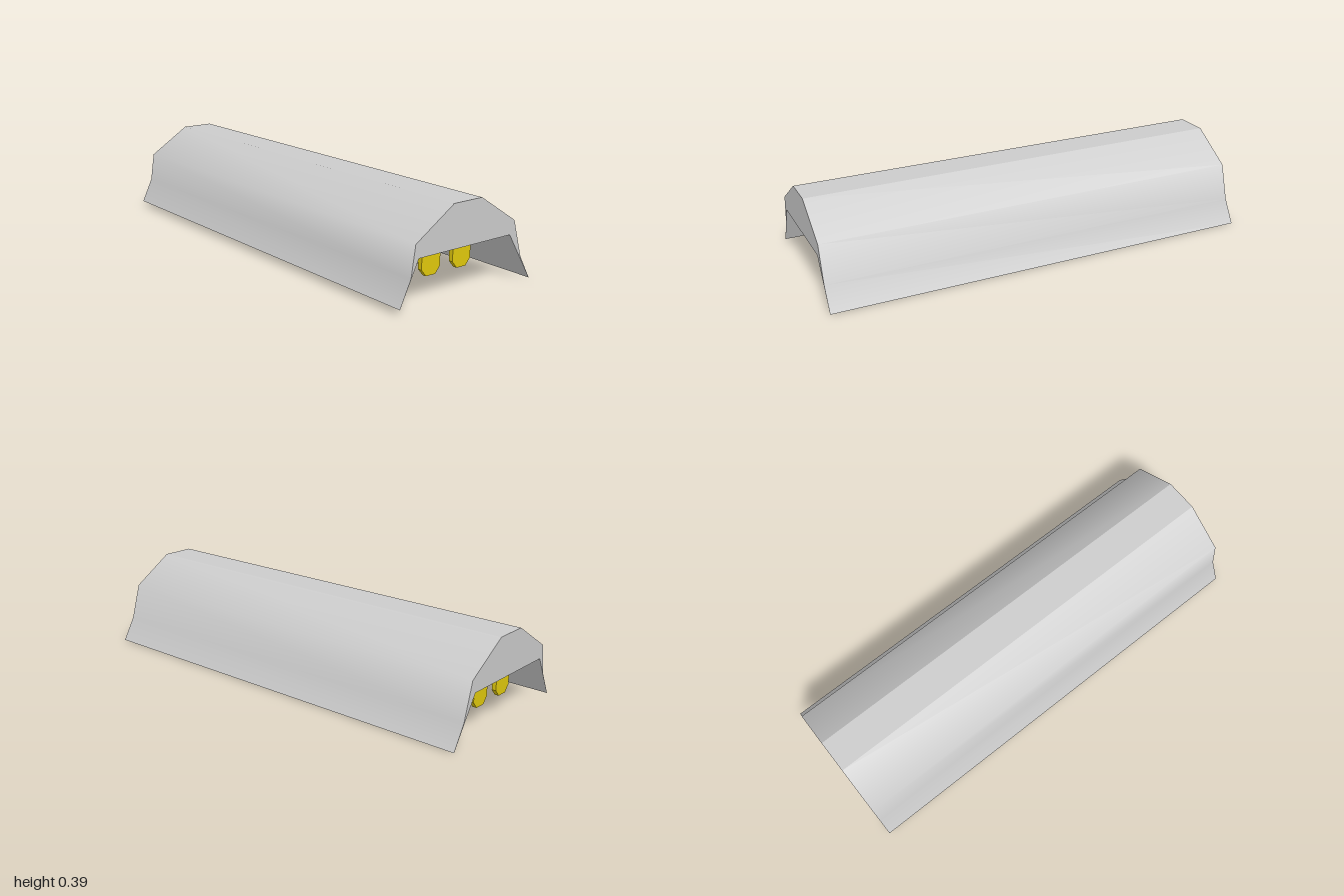
import * as THREE from 'three';

const grey = new THREE.MeshStandardMaterial({ color: 0xcccccc });
const flatGrey = new THREE.MeshStandardMaterial({ color: 0xcccccc, flatShading: true });
const yellow = new THREE.MeshStandardMaterial({ color: 0xe0c80c });

// Cross-section runs as [z, y]; shading is smooth inside a run, sharp between runs
const runs = {
  backCover: [[-0.36, 0.005], [-0.3, 0.11], [-0.252, 0.272], [-0.057, 0.397]],
  topPanel: [[-0.057, 0.397], [0.095, 0.397]],
  frontCover: [[0.095, 0.397], [0.29, 0.272], [0.31, 0.14], [0.362, 0.03]],
  frontReflector: [[0.362, 0.03], [0.272, 0.214]],
  underside: [[0.272, 0.214], [-0.228, 0.214]],
  backReflector: [[-0.228, 0.214], [-0.36, 0.005]],
};

function named(name, geometry, material) {
  const mesh = new THREE.Mesh(geometry, material);
  mesh.name = name;
  return mesh;
}

// Sweeps a run of the cross-section along the full length
function sweep(points) {
  const positions = [];
  const index = [];
  points.forEach(([z, y], i) => {
    positions.push(-1, y, z, 1, y, z);
    const a = 2 * i;
    if (i < points.length - 1) index.push(a, a + 2, a + 3, a, a + 3, a + 1);
  });
  const geometry = new THREE.BufferGeometry();
  geometry.setAttribute('position', new THREE.Float32BufferAttribute(positions, 3));
  geometry.setIndex(index);
  geometry.computeVertexNormals();
  return geometry;
}

// Flat outline of [z, y] points, mapped so a turn about y by side * 90 degrees restores z
const outline = (points, side) =>
  new THREE.Shape(points.map(([z, y]) => new THREE.Vector2(-side * z, y)));

export function createModel() {
  const model = new THREE.Group();

  // Housing: swept panels closed by an end cap on each side
  const housing = new THREE.Group();
  housing.name = 'housing';
  for (const [name, points] of Object.entries(runs)) housing.add(named(name, sweep(points), grey));
  const section = Object.values(runs).flatMap((points) => points.slice(0, -1));
  for (const side of [-1, 1]) {
    const cap = new THREE.ShapeGeometry(outline(section, side));
    cap.rotateY(side * Math.PI / 2).translate(side, 0, 0);
    housing.add(named(side > 0 ? 'leftEndCap' : 'rightEndCap', cap, grey));
  }
  model.add(housing);

  // Two lamps, each a low-poly tube between a pair of yellow holders
  for (const z of [0.105, -0.065]) {
    const lamp = new THREE.Group();
    lamp.name = z > 0 ? 'frontLamp' : 'backLamp';
    lamp.position.z = z;

    const holderShape = outline([
      [-0.05, 0.214], [-0.05, 0.115], [-0.025, 0.085],
      [0.025, 0.085], [0.05, 0.115], [0.05, 0.214],
    ], 1);
    for (const x of [-0.925, 0.875]) {
      const holder = new THREE.ExtrudeGeometry(holderShape, { depth: 0.02, bevelEnabled: false });
      holder.rotateY(Math.PI / 2).translate(x, 0, 0);
      lamp.add(named(x > 0 ? 'leftHolder' : 'rightHolder', holder, yellow));
    }

    const tube = new THREE.CylinderGeometry(0.038, 0.038, 1.78, 6);
    tube.rotateZ(Math.PI / 2).translate(-0.015, 0.155, 0);
    lamp.add(named('lampTube', tube, flatGrey));
    model.add(lamp);
  }
  return model;
}
